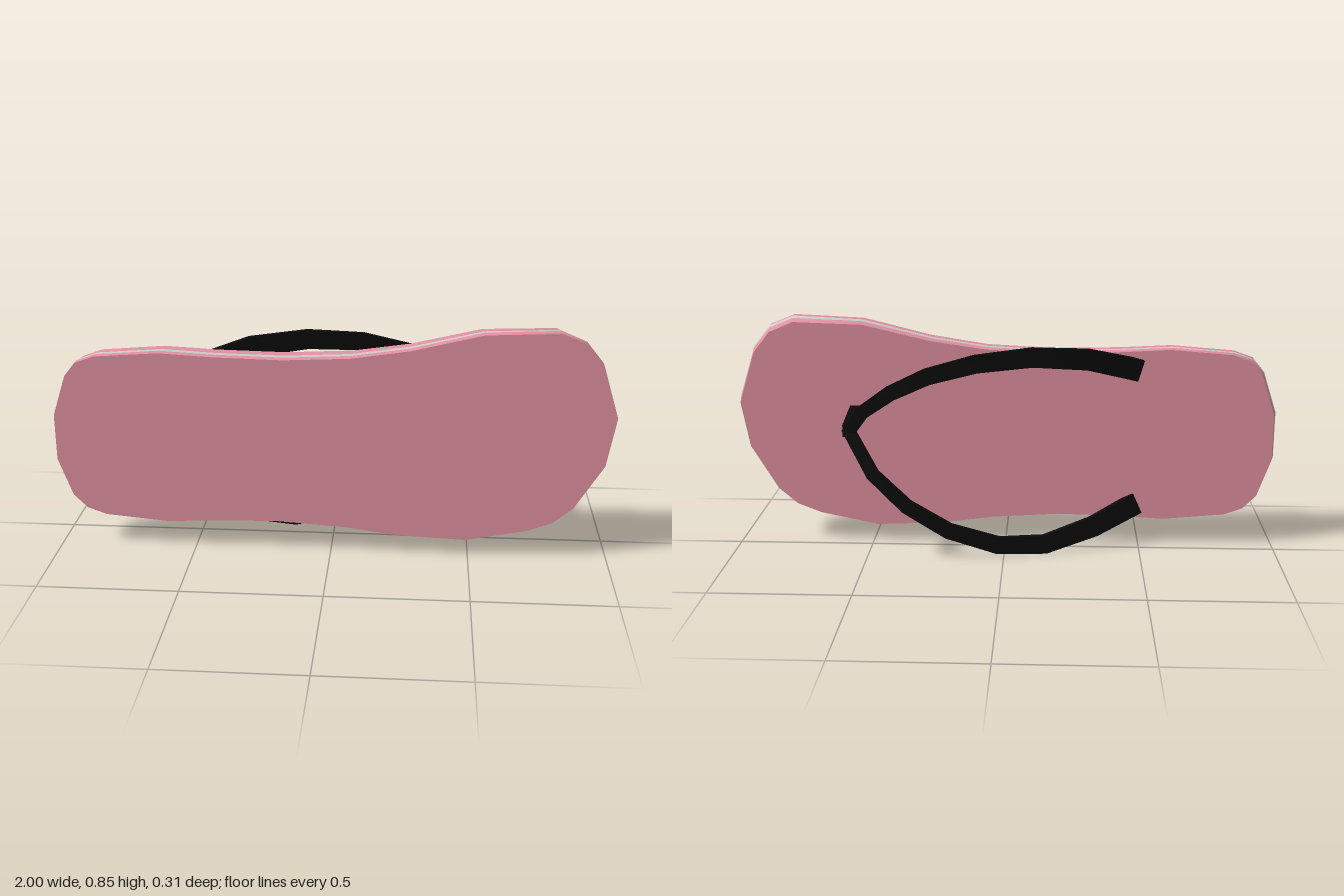
import * as THREE from 'three';
import { toCreasedNormals } from 'three/addons/utils/BufferGeometryUtils.js';

// Solid through rings of points, each ring counter-clockwise about the direction of travel.
function loft(rings, capStart = true, capEnd = true) {
  const pos = [];
  const tri = (...pts) => pts.forEach((p) => pos.push(p.x, p.y, p.z));
  const n = rings[0].length;
  for (let k = 0; k < rings.length - 1; k++) {
    const a = rings[k], b = rings[k + 1];
    for (let i = 0; i < n; i++) {
      const j = (i + 1) % n;
      tri(a[i], a[j], b[j]);
      tri(a[i], b[j], b[i]);
    }
  }
  const cap = (ring, flip) => {
    const c = new THREE.Vector3();
    ring.forEach((p) => c.addScaledVector(p, 1 / n));
    ring.forEach((p, i) => {
      const q = ring[(i + 1) % n];
      flip ? tri(c, q, p) : tri(c, p, q);
    });
  };
  if (capStart) cap(rings[0], true);
  if (capEnd) cap(rings[rings.length - 1], false);
  const geo = new THREE.BufferGeometry();
  geo.setAttribute('position', new THREE.Float32BufferAttribute(pos, 3));
  return geo;
}

// Sole outline: heel at -x, toe at +x
const OUTLINE = [
  [-1, 0.51], [-0.95, 0.66], [-0.91, 0.71], [-0.84, 0.735], [-0.61, 0.753], [-0.42, 0.743],
  [-0.17, 0.738], [0.07, 0.75], [0.28, 0.783], [0.53, 0.845], [0.79, 0.857], [0.88, 0.82],
  [0.94, 0.745], [1, 0.555], [0.97, 0.375], [0.87, 0.21], [0.8, 0.15], [0.71, 0.115],
  [0.49, 0.07], [0.24, 0.08], [0.05, 0.105], [-0.2, 0.12], [-0.42, 0.115], [-0.6, 0.105],
  [-0.83, 0.125], [-0.9, 0.15], [-0.95, 0.2], [-1, 0.34],
].reverse();

// Outline at a depth: 0 is the foot side (slightly smaller), 1 is the tread
function soleRing(t) {
  const inset = Math.max(0, 1 - t / 0.67);
  return OUTLINE.map(([x, y]) => {
    const z = THREE.MathUtils.lerp(0.05 - 0.005 * x, 0.148 + 0.008 * x, t);
    const drop = x > 0 && y > 0.46 ? 0.014 * x * inset : 0;
    return new THREE.Vector3(x * (1 - 0.014 * inset), y - drop, z);
  });
}

// Flat tapering band along a path; its width lies in the plane of the sole
function strapGeometry(points) {
  const pts = points.map((p) => new THREE.Vector3(...p));
  const up = new THREE.Vector3(0, 0, 1);
  const last = pts.length - 1;
  return loft(pts.map((p, i) => {
    const dir = pts[Math.min(i + 1, last)].clone().sub(pts[Math.max(i - 1, 0)]).normalize();
    const wide = up.clone().cross(dir).normalize();
    const thick = dir.clone().cross(wide);
    const w = THREE.MathUtils.lerp(0.04, 0.022, i / last);
    const h = THREE.MathUtils.lerp(0.015, 0.007, Math.min(1, i / 4));
    return [[1, 1], [-1, 1], [-1, -1], [1, -1]].map(([a, b]) =>
      p.clone().addScaledVector(wide, a * w).addScaledVector(thick, b * h));
  }));
}

export function createModel() {
  const model = new THREE.Group();
  const pink = new THREE.MeshStandardMaterial({ color: 0xe091a1 });
  const grey = new THREE.MeshStandardMaterial({ color: 0xc0c4c2 });
  const black = new THREE.MeshStandardMaterial({ color: 0x0b0b0b });
  const add = (name, geo, material, crease) => {
    const mesh = new THREE.Mesh(toCreasedNormals(geo, crease), material);
    mesh.name = name;
    model.add(mesh);
  };

  // Layered sole
  add('footbed', loft([soleRing(0), soleRing(0.43)], true, false), pink, 0.7);
  add('soleStripe', loft([soleRing(0.43), soleRing(0.67)], false, false), grey, 0.7);
  add('outsole', loft([soleRing(0.67), soleRing(1)], false, true), pink, 0.7);

  // Two straps from the heel sides to the toe post
  add('upperStrap', strapGeometry([
    [-0.49, 0.677, 0.053], [-0.3, 0.732, -0.027], [-0.1, 0.749, -0.08], [0.1, 0.732, -0.122],
    [0.27, 0.69, -0.145], [0.4, 0.63, -0.151], [0.5, 0.56, -0.147], [0.56, 0.475, -0.133],
  ]), black, 0.3);
  add('lowerStrap', strapGeometry([
    [-0.49, 0.167, 0.053], [-0.33, 0.095, -0.012], [-0.15, 0.044, -0.072], [0.02, 0.053, -0.115],
    [0.2, 0.115, -0.14], [0.35, 0.21, -0.15], [0.47, 0.33, -0.15], [0.56, 0.5, -0.133],
  ]), black, 0.3);

  // Toe post, leaning slightly
  const post = [[0.487, -0.137], [0.514, 0.055]].map(([y, z]) =>
    [[-1, -1], [1, -1], [1, 1], [-1, 1]].map(([a, b]) =>
      new THREE.Vector3(0.554 + a * 0.022, y + b * 0.022, z)));
  add('toePost', loft(post), black, 0.3);
  return model;
}
